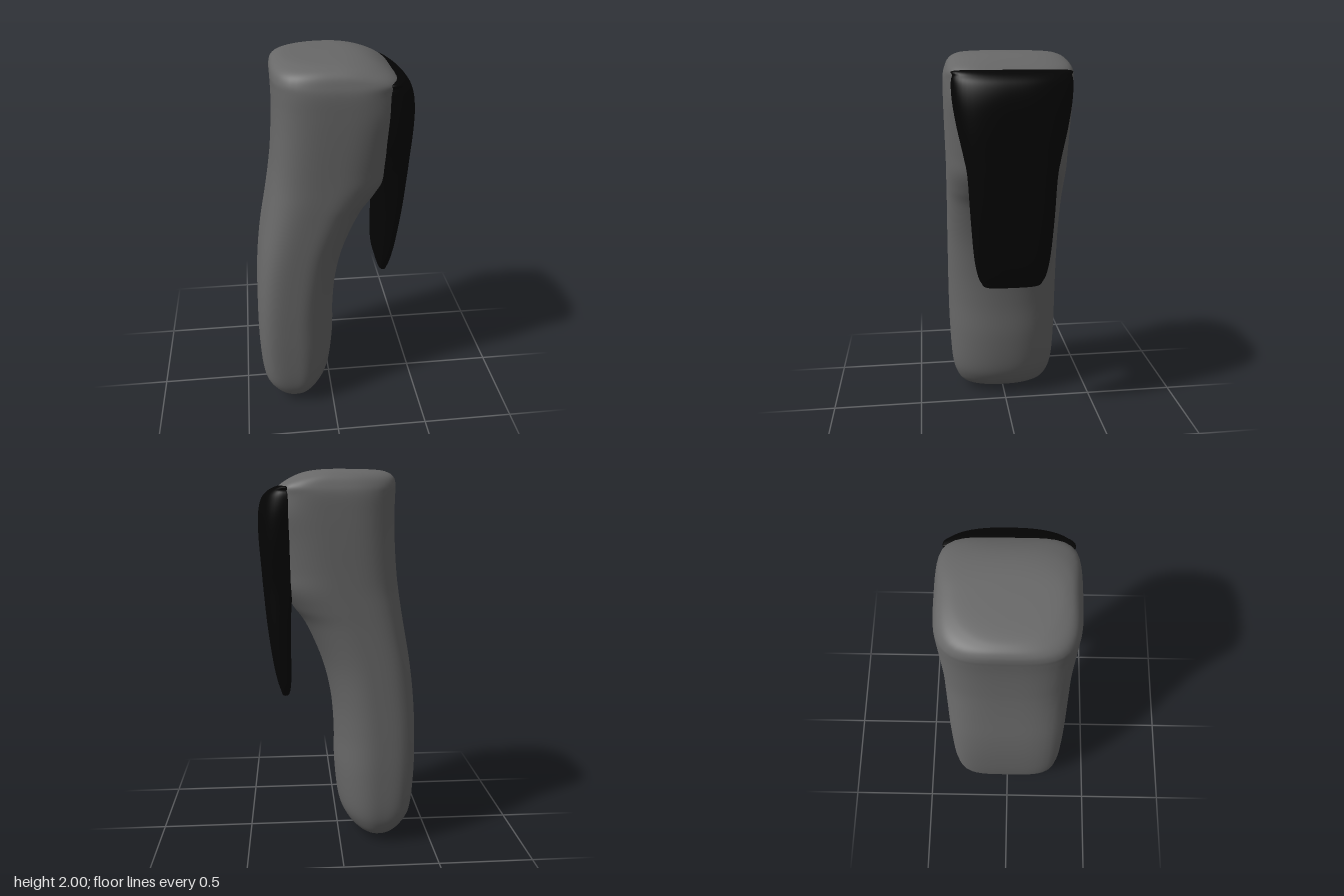
import * as THREE from 'three';

const SIDES = 64, STEPS = 6;

// Smooth skin through rows of [y, back x, middle x, front x, half depth, back squareness, front squareness]
function loft(name, rows, color) {
  const spline = new THREE.CubicInterpolant(rows.map((_, i) => i), rows.flat(), 7);
  const pos = [], index = [];
  const rings = (rows.length - 1) * STEPS;
  for (let r = 0; r <= rings; r++) {
    const [y, xb, xm, xf, hz, nb, nf] = spline.evaluate(r / STEPS);
    for (let s = 0; s < SIDES; s++) {
      const a = (s / SIDES) * Math.PI * 2, c = Math.cos(a), d = Math.sin(a);
      const n = c > 0 ? nf : nb;
      // superellipse: scale the unit direction onto the rounded-square outline
      const k = Math.pow(Math.pow(Math.abs(c), n) + Math.pow(Math.abs(d), n), -1 / n);
      pos.push(xm + c * k * (c > 0 ? xf - xm : xm - xb), y, d * k * Math.max(hz, 0));
      if (r < rings) {
        const p = r * SIDES + s, q = r * SIDES + (s + 1) % SIDES;
        index.push(p, p + SIDES, q, q, p + SIDES, q + SIDES);
      }
    }
  }
  const geo = new THREE.BufferGeometry();
  geo.setAttribute('position', new THREE.Float32BufferAttribute(pos, 3));
  geo.setIndex(index);
  geo.computeVertexNormals();
  const mesh = new THREE.Mesh(geo, new THREE.MeshStandardMaterial({ color }));
  mesh.name = name;
  return mesh;
}

export function createModel() {
  const group = new THREE.Group();
  group.name = 'triggerGrip';

  // Curved handle, from the rounded foot to the flat top; its upper front sits inside the trigger
  group.add(loft('handle', [
    [0.0, -0.21, -0.21, -0.21, 0, 2.6, 2.1],
    [0.01, -0.25, -0.21, -0.165, 0.15, 2.6, 2.1],
    [0.04, -0.315, -0.21, -0.095, 0.235, 2.8, 2.1],
    [0.1, -0.368, -0.205, -0.04, 0.278, 3.3, 2.1],
    [0.2, -0.4, -0.2, -0.003, 0.302, 4.2, 2.15],
    [0.4, -0.413, -0.2, 0.017, 0.313, 4.6, 2.2],
    [0.6, -0.412, -0.2, 0.019, 0.316, 4.6, 2.2],
    [0.8, -0.402, -0.18, 0.037, 0.316, 4.4, 2.2],
    [1.0, -0.38, -0.15, 0.086, 0.316, 4.1, 2.2],
    [1.2, -0.345, -0.09, 0.172, 0.316, 3.9, 2.3],
    [1.3, -0.328, -0.05, 0.242, 0.317, 3.8, 2.4],
    [1.4, -0.313, -0.01, 0.295, 0.318, 3.7, 2.6],
    [1.5, -0.301, 0, 0.315, 0.32, 3.6, 2.7],
    [1.65, -0.29, 0.02, 0.345, 0.324, 3.6, 2.8],
    [1.77, -0.286, 0.03, 0.37, 0.326, 3.6, 3],
    [1.87, -0.288, 0.03, 0.348, 0.325, 3.6, 3.4],
    [1.92, -0.29, 0.02, 0.302, 0.314, 3.6, 4.8],
    [1.96, -0.283, 0.01, 0.24, 0.295, 3.1, 3.6],
    [1.985, -0.255, 0, 0.175, 0.26, 2.4, 2.8],
    [1.997, -0.19, 0, 0.1, 0.19, 2.1, 2.4],
    [2.0, 0, 0, 0, 0, 2.1, 2.4],
  ], 0x686868));

  // Trigger paddle: flat back, rounded front, tapering downwards
  group.add(loft('trigger', [
    [0.813, 0.287, 0.287, 0.287, 0, 3.5, 3],
    [0.82, 0.268, 0.29, 0.305, 0.13, 3.5, 3],
    [0.85, 0.259, 0.285, 0.316, 0.163, 4, 3.2],
    [0.9, 0.255, 0.285, 0.331, 0.182, 4, 3.4],
    [1.0, 0.254, 0.285, 0.351, 0.198, 4, 3.6],
    [1.2, 0.253, 0.285, 0.377, 0.212, 4, 3.9],
    [1.4, 0.242, 0.268, 0.394, 0.223, 6, 4.1],
    [1.5, 0.244, 0.266, 0.401, 0.24, 8, 3.7],
    [1.65, 0.248, 0.266, 0.412, 0.272, 8, 3.1],
    [1.77, 0.253, 0.266, 0.413, 0.291, 8, 2.7],
    [1.85, 0.255, 0.266, 0.397, 0.295, 8, 2.5],
    [1.89, 0.257, 0.268, 0.366, 0.288, 8, 2.5],
    [1.915, 0.262, 0.272, 0.318, 0.268, 8, 2.6],
    [1.92, 0.28, 0.28, 0.28, 0, 8, 3],
  ], 0x040404));

  return group;
}
